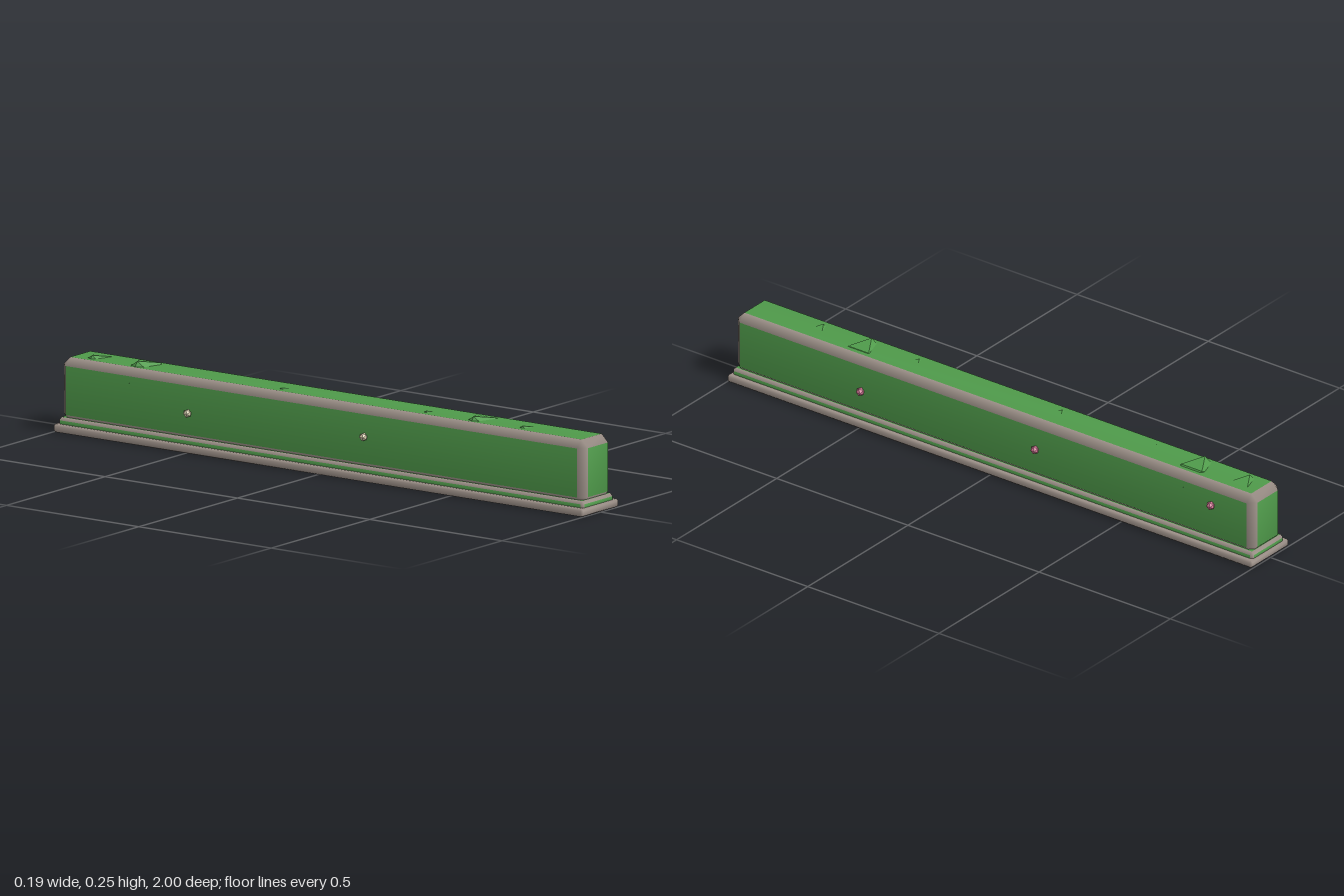
import * as THREE from 'three';

const mat = (color, flatShading = false) => new THREE.MeshStandardMaterial({ color, flatShading });
const stone = mat(0x9c9088);
const leaf = mat(0x4f9a4a);
const tuftLeaf = mat(0x4f9a4a, true);
const pink = mat(0xd87a9a, true);
const cream = mat(0xd8cfae, true);

// Box with chamfered edges: group 0 holds the six flat faces, group 1 the chamfers.
function chamferBox(w, h, d, c) {
  const half = [w / 2, h / 2, d / 2];
  const pos = [];
  const signs = [-1, 1];
  // Three vertices per corner, one on each adjoining face
  for (const sx of signs) for (const sy of signs) for (const sz of signs) {
    const s = [sx, sy, sz];
    for (let axis = 0; axis < 3; axis++) {
      for (let k = 0; k < 3; k++) pos.push(s[k] * (half[k] - (k === axis ? 0 : c)));
    }
  }
  const id = (s, axis) => ((s[0] > 0 ? 4 : 0) + (s[1] > 0 ? 2 : 0) + (s[2] > 0 ? 1 : 0)) * 3 + axis;
  const at = i => new THREE.Vector3().fromArray(pos, i * 3);
  const index = [];
  // Adds a convex face, turned so that it points along the given outward direction
  const face = (ids, out) => {
    const [a, b, e] = ids.map(at);
    const n = b.clone().sub(a).cross(e.clone().sub(a));
    const r = n.dot(new THREE.Vector3(...out)) < 0 ? [...ids].reverse() : ids;
    for (let i = 2; i < r.length; i++) index.push(r[0], r[i - 1], r[i]);
  };
  const sign = (a, va, b, vb, e, ve) => { const s = []; s[a] = va; s[b] = vb; s[e] = ve; return s; };
  for (let a = 0; a < 3; a++) {
    const b = (a + 1) % 3, e = (a + 2) % 3;
    for (const v of signs) {
      const ring = [[-1, -1], [1, -1], [1, 1], [-1, 1]];
      face(ring.map(([p, q]) => id(sign(a, v, b, p, e, q), a)), sign(a, v, b, 0, e, 0));
    }
  }
  const flatCount = index.length;
  // Edge strips running along axis a
  for (let a = 0; a < 3; a++) {
    const b = (a + 1) % 3, e = (a + 2) % 3;
    for (const p of signs) for (const q of signs) {
      const s0 = sign(a, -1, b, p, e, q), s1 = sign(a, 1, b, p, e, q);
      face([id(s0, b), id(s1, b), id(s1, e), id(s0, e)], sign(a, 0, b, p, e, q));
    }
  }
  // Corner triangles
  for (const sx of signs) for (const sy of signs) for (const sz of signs) {
    const s = [sx, sy, sz];
    face([id(s, 0), id(s, 1), id(s, 2)], s);
  }
  const g = new THREE.BufferGeometry();
  g.setAttribute('position', new THREE.Float32BufferAttribute(pos, 3));
  g.setIndex(index);
  g.addGroup(0, flatCount, 0);
  g.addGroup(flatCount, index.length - flatCount, 1);
  g.computeVertexNormals();
  return g;
}

export function createModel() {
  const model = new THREE.Group();
  model.name = 'hedge';
  const add = (name, geometry, material, x, y, z) => {
    const m = new THREE.Mesh(geometry, material);
    m.name = name;
    m.position.set(x, y, z);
    model.add(m);
    return m;
  };

  // Stepped base and hedge body
  add('basePlinth', chamferBox(0.19, 0.025, 2, 0.006), [stone, stone], 0, 0.0125, 0);
  add('baseStep', chamferBox(0.16, 0.034, 1.985, 0.009), [leaf, stone], 0, 0.028, 0);
  add('hedgeBody', chamferBox(0.15, 0.2, 1.98, 0.024), [leaf, stone], 0, 0.13, 0);

  // Leaf tufts poking out of the top: [z, tip height, radius]
  const tuftGeometry = new THREE.IcosahedronGeometry(1, 0);
  tuftGeometry.rotateX(Math.atan(2 / (1 + Math.sqrt(5)))); // one vertex straight up
  tuftGeometry.rotateY(Math.PI / 2); // a ring vertex toward the side
  const tufts = [
    [-0.9, 0.246, 0.065], [-0.725, 0.253, 0.076], [-0.545, 0.237, 0.065], [-0.36, 0.233, 0.06],
    [-0.185, 0.24, 0.065], [0, 0.232, 0.06], [0.18, 0.235, 0.06], [0.36, 0.24, 0.065],
    [0.545, 0.25, 0.075], [0.725, 0.242, 0.065], [0.905, 0.234, 0.06],
  ];
  for (const [z, tip, r] of tufts) {
    add('leafTuft', tuftGeometry, tuftLeaf, 0, tip - 0.9 * r, z).scale.set(r, 0.9 * r, r);
  }

  // Blossoms on both long sides: [side, y, z]
  const blossomGeometry = new THREE.IcosahedronGeometry(0.0135, 0);
  const blossoms = [
    [1, 0.122, 0.5], [1, 0.136, -0.165], [1, 0.16, -0.835],
    [-1, 0.137, 0.165], [-1, 0.122, -0.5],
  ];
  for (const [side, y, z] of blossoms) {
    add('blossom', blossomGeometry, side > 0 ? pink : cream, side * 0.083, y, z);
  }
  return model;
}
